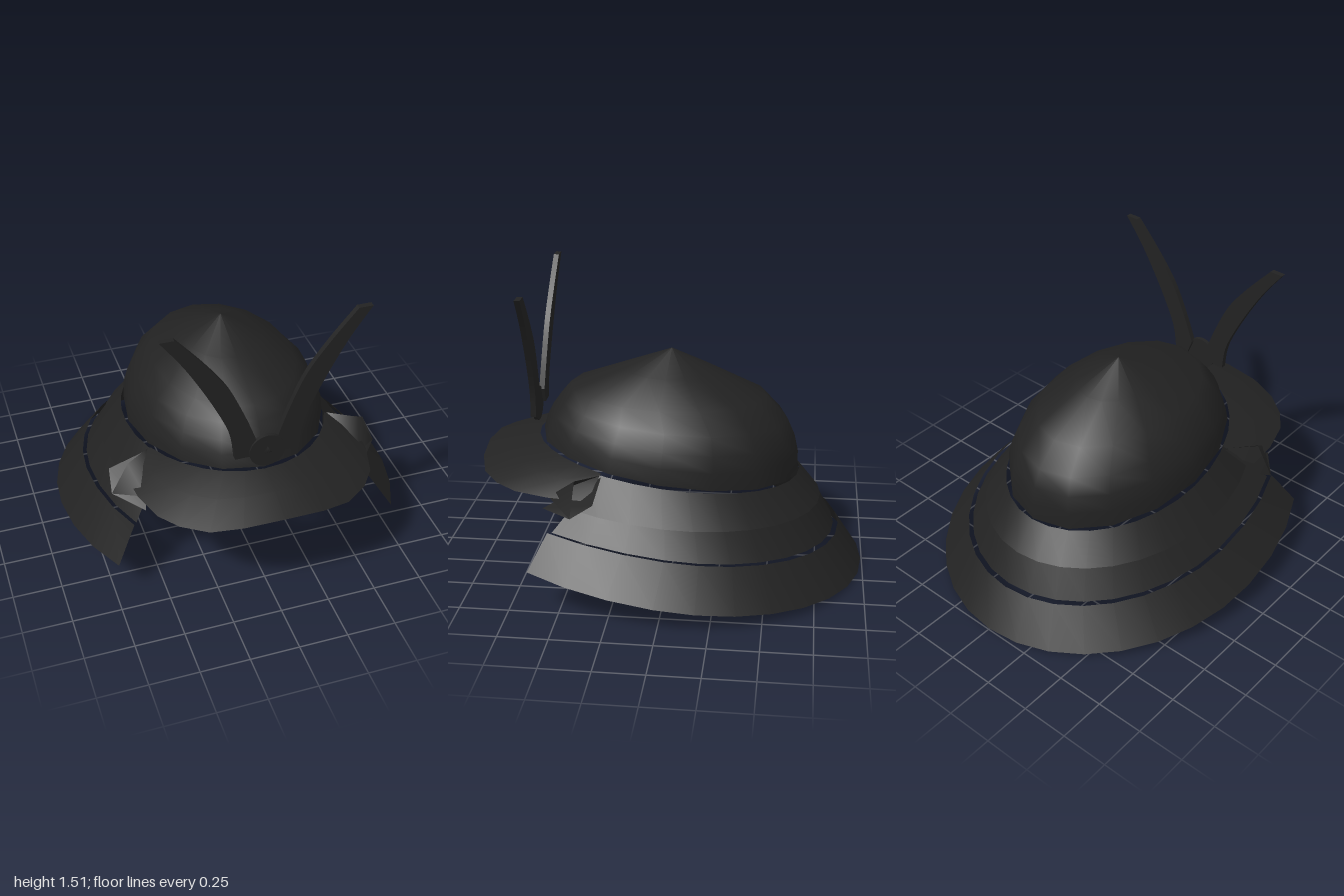
import * as THREE from 'three';

const iron = new THREE.MeshStandardMaterial({ color: 0x222222, side: THREE.DoubleSide });
iron.name = 'black iron';

// Smooth surface through rows of points; closed rows wrap round.
function loft(rows, closed = false) {
  const n = rows[0].length, index = [];
  const cols = closed ? n : n - 1;
  for (let r = 0; r < rows.length - 1; r++) {
    for (let i = 0; i < cols; i++) {
      const a = r * n + i, b = r * n + (i + 1) % n;
      index.push(a, b, a + n, b, b + n, a + n);
    }
  }
  const g = new THREE.BufferGeometry();
  g.setAttribute('position', new THREE.Float32BufferAttribute(rows.flat(2), 3));
  g.setIndex(index);
  g.computeVertexNormals();
  return g;
}

// Tilted ellipse of the bowl, given its front and back heights.
function bowlRing([zf, yf, zb, yb, rx]) {
  const pts = [];
  for (let i = 0; i < 16; i++) {
    const a = i / 16 * Math.PI * 2, t = (1 + Math.cos(a)) / 2;
    pts.push([rx * Math.sin(a), yb + (yf - yb) * t, zb + (zf - zb) * t]);
  }
  return pts;
}

// Open curve round the back of the neck, stopping at zEnd on both sides.
function guardRow({ rx, back, front, zEnd, y, slope }) {
  const pts = [], end = Math.acos(-zEnd / front);
  for (let i = 0; i <= 22; i++) {
    const a = (i / 11 - 1) * end, c = Math.cos(a);
    const z = -(c > 0 ? back : front) * c;
    pts.push([rx * Math.sin(a), y + slope * z, z]);
  }
  return pts;
}

export function createModel() {
  const group = new THREE.Group();
  const add = (name, geometry) => {
    const mesh = new THREE.Mesh(geometry, iron);
    mesh.name = name;
    group.add(mesh);
    return mesh;
  };

  // Bowl with a pointed crown
  add('bowl', loft([
    [0.70, 0.69, -0.64, 0.51, 0.505],
    [0.68, 0.76, -0.64, 0.61, 0.50],
    [0.65, 0.82, -0.62, 0.70, 0.475],
    [0.60, 0.89, -0.58, 0.79, 0.435],
    [0.55, 0.95, -0.47, 0.91, 0.36],
    [0.28, 1.05, -0.22, 1.03, 0.20],
    [0.02, 1.15, 0.02, 1.15, 0],
  ].map(bowlRing), true));

  // Three flared tiers of the neck guard
  const tiers = [
    [{ rx: 0.515, back: 0.65, front: 0.72, zEnd: 0.42, y: 0.585, slope: 0.11 },
      { rx: 0.63, back: 0.765, front: 0.85, zEnd: 0.47, y: 0.425, slope: 0.075 }],
    [{ rx: 0.615, back: 0.75, front: 0.85, zEnd: 0.46, y: 0.435, slope: 0.075 },
      { rx: 0.715, back: 0.84, front: 1.05, zEnd: 0.55, y: 0.305, slope: 0.113 }],
    [{ rx: 0.735, back: 0.865, front: 1.08, zEnd: 0.57, y: 0.305, slope: 0.118 },
      { rx: 0.89, back: 0.995, front: 1.15, zEnd: 0.655, y: 0.125, slope: 0.125 }],
  ];
  tiers.forEach((rows, i) => add(`neckGuardTier${i + 1}`, loft(rows.map(guardRow))));

  // Curved brim, mirrored from its half outline
  const half = [[0, 0.605, 1.0], [0.2, 0.592, 0.985], [0.35, 0.57, 0.94], [0.47, 0.562, 0.85],
    [0.55, 0.557, 0.74], [0.6, 0.553, 0.57], [0.62, 0.55, 0.36]];
  const outer = [...half.slice(1).reverse().map(([x, y, z]) => [-x, y, z]), ...half];
  const inner = outer.map((_, i) => {
    const a = (i - 6) / 6 * 1.13, z = 0.03 + 0.685 * Math.cos(a);
    return [0.515 * Math.sin(a), 0.59 + 0.14 * z, z];
  });
  const middle = inner.map((p, i) => p.map((v, k) => (v + outer[i][k]) / 2 + (k === 1 ? 0.012 : 0)));
  add('brim', loft([inner, middle, outer]));

  // Folded side flaps
  for (const s of [1, -1]) {
    const side = s > 0 ? 'left' : 'right';
    const m = (pts) => pts.map(([x, y, z]) => [s * x, y, z]);
    add(`${side}FlapUpper`, loft([
      m([[0.48, 0.63, 0.32], [0.61, 0.65, 0.43]]),
      m([[0.56, 0.54, 0.57], [0.70, 0.49, 0.44]]),
    ]));
    add(`${side}FlapLower`, loft([
      m([[0.48, 0.62, 0.32], [0.685, 0.56, 0.33]]),
      m([[0.57, 0.48, 0.60], [0.70, 0.49, 0.44]]),
    ]));
  }

  // Pair of tall flat horns, leaning back slightly
  for (const s of [1, -1]) {
    const shape = new THREE.Shape();
    shape.moveTo(s * 0.08, 0.80);
    shape.lineTo(s * 0.16, 0.80);
    shape.splineThru([[0.175, 0.92], [0.215, 1.03], [0.30, 1.20], [0.40, 1.37], [0.505, 1.515]]
      .map(([x, y]) => new THREE.Vector2(s * x, y)));
    shape.lineTo(s * 0.435, 1.515);
    shape.splineThru([[0.30, 1.36], [0.19, 1.21], [0.11, 1.04], [0.05, 0.88]]
      .map(([x, y]) => new THREE.Vector2(s * x, y)));
    const g = new THREE.ExtrudeGeometry(shape, { depth: 0.028, bevelEnabled: false, curveSegments: 10 });
    const p = g.attributes.position;
    for (let i = 0; i < p.count; i++) p.setZ(i, p.getZ(i) + 0.708 - (p.getY(i) - 0.8) * 0.035);
    g.computeVertexNormals();
    add(s > 0 ? 'leftHorn' : 'rightHorn', g);
  }

  // Round boss with a small raised triangle
  const boss = add('boss', new THREE.CylinderGeometry(0.09, 0.09, 0.02, 18));
  boss.rotation.x = Math.PI / 2;
  boss.position.set(0, 0.82, 0.732);
  const stud = add('bossStud', new THREE.CylinderGeometry(0.012, 0.028, 0.008, 3));
  stud.rotation.x = Math.PI / 2;
  stud.rotation.y = Math.PI;
  stud.position.set(0, 0.82, 0.745);

  return group;
}
